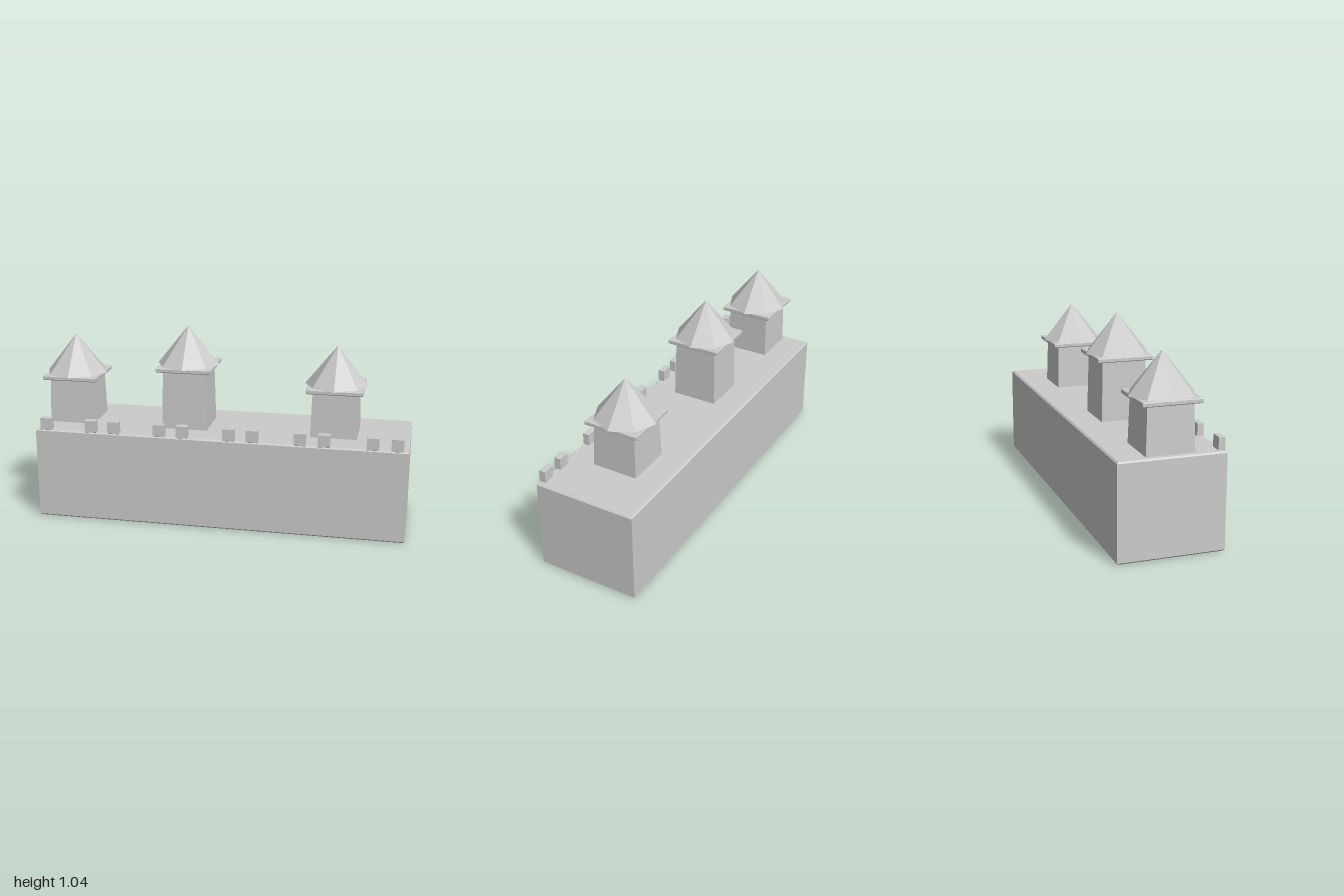
import * as THREE from 'three';

const material = new THREE.MeshStandardMaterial({ color: 0xcccccc, flatShading: true });

function addMesh(parent, name, geometry, x, y, z) {
  const mesh = new THREE.Mesh(geometry, material);
  mesh.name = name;
  mesh.position.set(x, y, z);
  parent.add(mesh);
  return mesh;
}

// Block standing on y = 0 with chamfered top and bottom rims; the top is scaled by taper
function chamferedBlock(w, h, d, bevel, taper = 1) {
  const a = w / 2 - bevel, b = d / 2 - bevel;
  const outline = new THREE.Shape([
    new THREE.Vector2(-a, -b), new THREE.Vector2(a, -b),
    new THREE.Vector2(a, b), new THREE.Vector2(-a, b),
  ]);
  const geometry = new THREE.ExtrudeGeometry(outline, {
    depth: h - 2 * bevel, bevelThickness: bevel, bevelSize: bevel, bevelSegments: 1,
  });
  geometry.translate(0, 0, bevel).rotateX(-Math.PI / 2);
  const p = geometry.attributes.position;
  for (let i = 0; i < p.count; i++) {
    const s = 1 + (taper - 1) * p.getY(i) / h;
    p.setXYZ(i, p.getX(i) * s, p.getY(i), p.getZ(i) * s);
  }
  geometry.computeVertexNormals();
  return geometry;
}

// Tapered square shaft, eaves slab and eight-sided pointed roof
function createTower(x, height) {
  const tower = new THREE.Group();
  tower.name = 'tower';
  tower.position.set(x, 0.49, 0);
  addMesh(tower, 'towerShaft', chamferedBlock(0.246, height, 0.246, 0.006, 0.94), 0, 0, 0);
  addMesh(tower, 'eavesSlab', chamferedBlock(0.296, 0.024, 0.296, 0.004), 0, height - 0.002, 0);
  addMesh(tower, 'roof', new THREE.ConeGeometry(0.168, 0.21, 8), 0, height + 0.125, 0);
  return tower;
}

export function createModel() {
  const model = new THREE.Group();
  model.name = 'fortressWall';

  // Main wall
  addMesh(model, 'wall', chamferedBlock(1.985, 0.498, 0.546, 0.008), 0.005, 0, 0);

  // Towers, the middle one taller
  for (const [x, height] of [[-0.832, 0.25], [-0.2, 0.324], [0.6, 0.25]]) {
    model.add(createTower(x, height));
  }

  // Battlement blocks in pairs along the front edge; the first pair is cut by the wall end
  for (let i = -1; i < 5; i++) {
    for (const side of [-1, 1]) {
      const x = -0.617 + 0.3735 * i + side * 0.0625;
      if (x > -1) addMesh(model, 'merlon', chamferedBlock(0.062, 0.067, 0.034, 0.002), x, 0.496, 0.256);
    }
  }
  return model;
}
